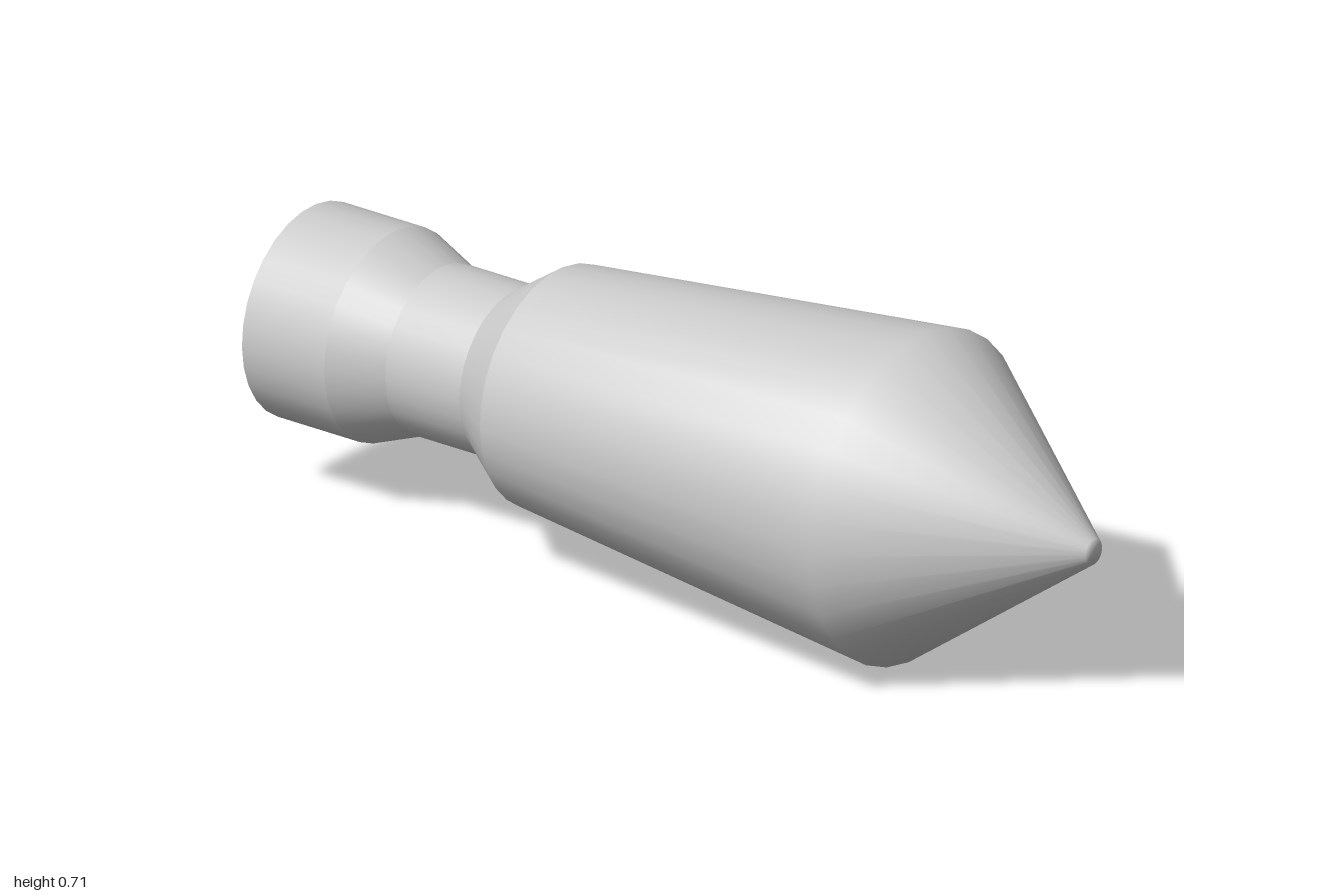
import * as THREE from 'three';

const SIDES = 30;
const AXIS_HEIGHT = 0.354;

export function createModel() {
  const group = new THREE.Group();
  const material = new THREE.MeshStandardMaterial({ color: 0xcccccc });

  // Turned section along x; the profile is a list of [x, radius] from tail to tip
  function turned(name, profile) {
    const points = profile.map(([x, r]) => new THREE.Vector2(r, x));
    const geometry = new THREE.LatheGeometry(points, SIDES, THREE.MathUtils.degToRad(1.3));
    geometry.rotateZ(-Math.PI / 2);
    const mesh = new THREE.Mesh(geometry, material);
    mesh.name = name;
    mesh.position.y = AXIS_HEIGHT;
    group.add(mesh);
  }

  // Tail: flat end, collar and the taper into the neck
  turned('endCap', [[-1, 0], [-1, 0.227]]);
  turned('collar', [[-1, 0.227], [-0.79, 0.227]]);
  turned('collarTaper', [[-0.79, 0.227], [-0.67, 0.181]]);

  // Neck and the flare out to the body
  turned('neck', [[-0.67, 0.181], [-0.48, 0.181]]);
  turned('neckFlare', [[-0.48, 0.181], [-0.37, 0.256]]);

  // Widening body with a conical nose and a small blunt tip, shaded smoothly
  turned('bodyAndNose', [[-0.37, 0.256], [0.55, 0.355], [1, 0.028], [1, 0]]);

  return group;
}
